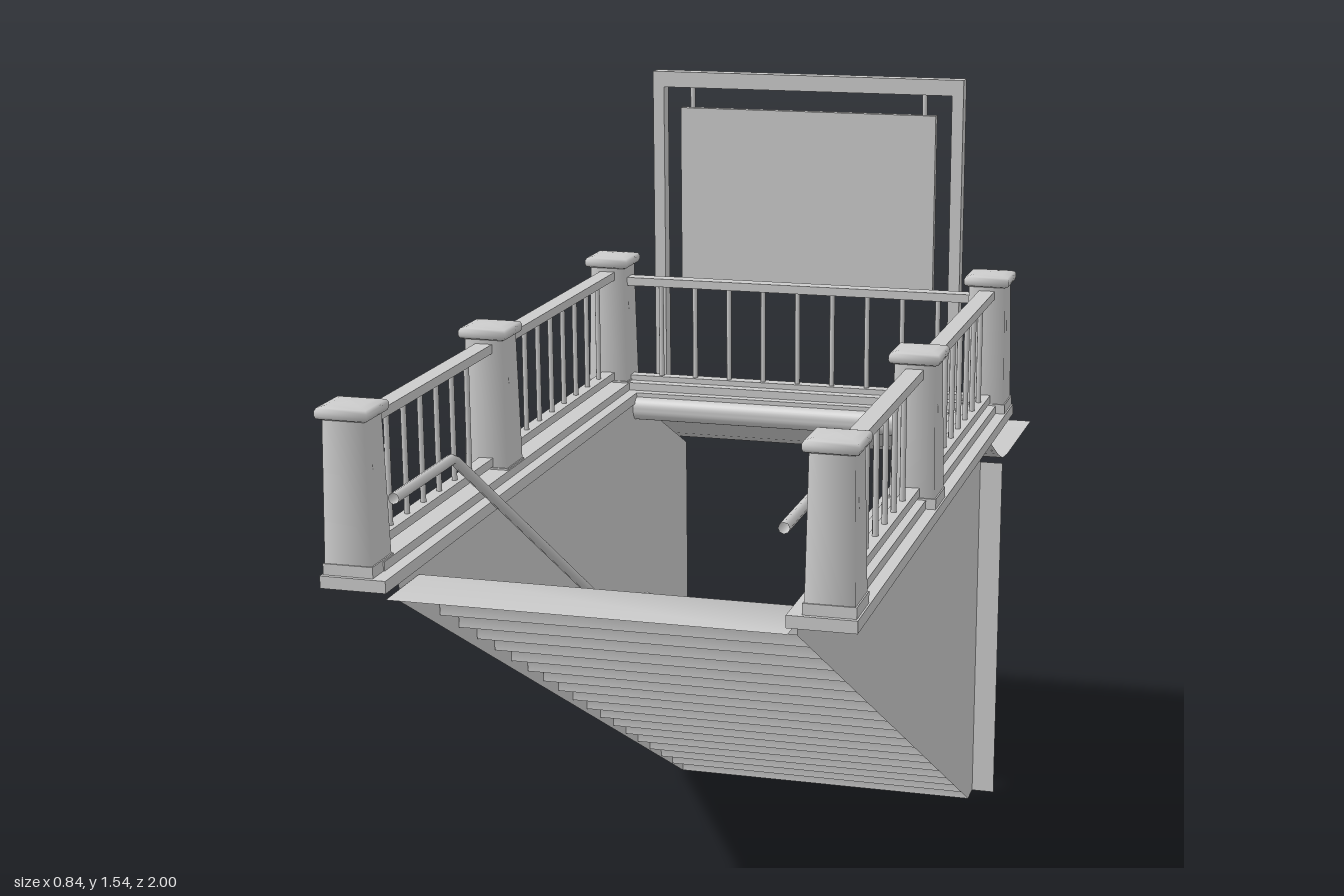
import * as THREE from 'three';
import { RoundedBoxGeometry } from 'three/addons/geometries/RoundedBoxGeometry.js';

const mat = new THREE.MeshStandardMaterial({ color: 0xcccccc });
const thin = new THREE.MeshStandardMaterial({ color: 0xcccccc, side: THREE.DoubleSide });

function add(parent, name, geometry, x = 0, y = 0, z = 0, material = mat) {
  const mesh = new THREE.Mesh(geometry, material);
  mesh.name = name;
  mesh.position.set(x, y, z);
  parent.add(mesh);
  return mesh;
}

const box = (w, h, d) => new THREE.BoxGeometry(w, h, d);

// Smooth sheet swept across x from a list of [z, y] points
function ribbon(points, x0, x1) {
  const pos = [], idx = [];
  points.forEach(([z, y], i) => {
    pos.push(x0, y, z, x1, y, z);
    if (i) {
      const a = 2 * i - 2;
      idx.push(a, a + 1, a + 3, a, a + 3, a + 2);
    }
  });
  const g = new THREE.BufferGeometry();
  g.setAttribute('position', new THREE.Float32BufferAttribute(pos, 3));
  g.setIndex(idx);
  g.computeVertexNormals();
  return g;
}

// U-shaped kerb, open at +z, lying between heights y0 and y1
function kerb(outer, inner, front, back, backInner, y0, y1) {
  const s = new THREE.Shape([
    [-outer, -front], [-inner, -front], [-inner, -backInner], [inner, -backInner],
    [inner, -front], [outer, -front], [outer, -back], [-outer, -back],
  ].map(([x, y]) => new THREE.Vector2(x, y)));
  return new THREE.ExtrudeGeometry(s, { depth: y1 - y0, bevelEnabled: false })
    .rotateX(-Math.PI / 2).translate(0, y0, 0);
}

// Square turning: a four-sided lathe from [half width, y] points
const squareLathe = (points) => new THREE.LatheGeometry(
  points.map(([w, y]) => new THREE.Vector2(w * Math.SQRT2, y)), 4, Math.PI / 4);

// Tapered square newel post with a moulded cap
function post(parent, x, z) {
  const g = new THREE.Group();
  g.name = 'post';
  g.position.set(x, 0.92, z);
  parent.add(g);
  add(g, 'postBase', box(0.082, 0.018, 0.082), 0, 0.009, 0);
  add(g, 'postBody', squareLathe([[0.039, 0], [0.034, 0.246]]));
  add(g, 'postCap', squareLathe([
    [0.034, 0.243], [0.041, 0.246], [0.043, 0.251], [0.043, 0.258], [0.04, 0.263], [0.028, 0.266], [0, 0.268],
  ]));
}

// Railing bay along x, centred on its group
function railing(parent, name, length, count, topY, lowY) {
  const g = new THREE.Group();
  g.name = name;
  parent.add(g);
  add(g, 'topRail', box(length, 0.016, 0.03), 0, topY, 0);
  add(g, 'bottomRail', box(length, 0.015, 0.025), 0, lowY, 0);
  for (let i = 0; i < count; i++) {
    add(g, 'baluster', new THREE.CylinderGeometry(0.005, 0.005, topY - lowY, 8),
      (i - (count - 1) / 2) * 0.0695, (topY + lowY) / 2, 0);
  }
  return g;
}

export function createModel() {
  const model = new THREE.Group();
  model.name = 'stairEntrance';
  const root = new THREE.Group();
  root.name = 'entrance';
  root.position.x = -0.003;
  model.add(root);

  // Stair flight, falling towards the back
  const steps = 19, run = 0.08, rise = 0.0468;
  for (let i = 0; i < steps; i++) {
    const z = -0.58 + i * run, y = i * rise;
    const end = i === steps - 1 ? 0.995 : z + run;
    add(root, 'step', ribbon([[z, y], [z, y + rise], [end, y + rise]], -0.316, 0.316), 0, 0, 0, thin);
  }

  // Sheet side walls with a flange turned outwards at the lower entrance
  const profile = [[0.94, 0.87], [0.94, 0.9], [-0.3, 0.9], [-0.33, 0.88], [-0.63, 0.73], [-0.63, 0], [-0.58, 0]];
  const side = new THREE.ShapeGeometry(new THREE.Shape(profile.map(([z, y]) => new THREE.Vector2(-z, y))))
    .rotateY(Math.PI / 2);
  for (const s of [-1, 1]) {
    const wall = new THREE.Group();
    wall.name = s > 0 ? 'leftWall' : 'rightWall';
    root.add(wall);
    add(wall, 'wallSheet', side, s * 0.317, 0, 0, thin);
    add(wall, 'wallFlange', new THREE.PlaneGeometry(0.046, 0.73), s * 0.34, 0.365, -0.63, thin);
  }

  // Kerbs round the opening
  add(root, 'lowerKerb', kerb(0.422, 0.314, 0.998, -0.375, -0.275, 0.9, 0.92));
  add(root, 'upperKerb', kerb(0.402, 0.335, 0.95, -0.36, -0.295, 0.92, 0.935));
  add(root, 'lintel', new RoundedBoxGeometry(0.72, 0.047, 0.065, 4, 0.021), 0, 0.889, -0.292);

  // Posts, side railings and handrails
  const path = [[0.975, 1.045], [0.73, 1.045], [-0.13, 0.49], [-0.3, 0.49]];
  for (const s of [-1, 1]) {
    for (const z of [0.95, 0.355, -0.33]) post(root, s * 0.378, z);
    for (const [z, length, n] of [[0.682, 0.6, 7], [0.012, 0.65, 8]]) {
      const bay = railing(root, 'sideRailing', length, n, 1.148, 0.947);
      bay.rotation.y = Math.PI / 2;
      bay.position.set(s * 0.378, 0, z);
    }
    const curve = new THREE.CurvePath();
    for (let i = 1; i < path.length; i++) {
      const [a, b] = [path[i - 1], path[i]].map(([z, y]) => new THREE.Vector3(s * 0.305, y, z));
      curve.add(new THREE.LineCurve3(a, b));
    }
    add(root, 'handrail', new THREE.TubeGeometry(curve, 90, 0.009, 8), 0, 0, 0, thin);
  }
  railing(root, 'backRailing', 0.7, 9, 1.135, 0.938).position.z = -0.33;

  // Hanging sign in its frame
  const sign = new THREE.Group();
  sign.name = 'sign';
  sign.position.z = -0.403;
  root.add(sign);
  for (const s of [-1, 1]) {
    add(sign, 'framePost', box(0.022, 0.625, 0.03), s * 0.297, 1.2275, 0);
    add(sign, 'hanger', new THREE.CylinderGeometry(0.005, 0.005, 0.045, 8), s * 0.231, 1.49, 0);
  }
  add(sign, 'frameTop', box(0.574, 0.03, 0.03), 0, 1.525, 0);
  add(sign, 'signPanel', box(0.508, 0.34, 0.016), 0, 1.3, 0);

  // Canopy sheet over the lower entrance, with fixing bolts
  const canopy = [[-0.33, 0.885], [-0.57, 0.765], [-0.63, 0.742], [-0.69, 0.735], [-1, 0.73]];
  add(root, 'canopy', ribbon(canopy, -0.363, 0.363), 0, 0, 0, thin);
  for (const x of [-0.355, -0.325, 0.325, 0.355]) {
    for (const z of [-0.42, -0.48, -0.54]) {
      add(root, 'bolt', new THREE.SphereGeometry(0.002, 6, 4), x, 0.885 + (z + 0.33) * 0.5, z);
    }
  }
  return model;
}
